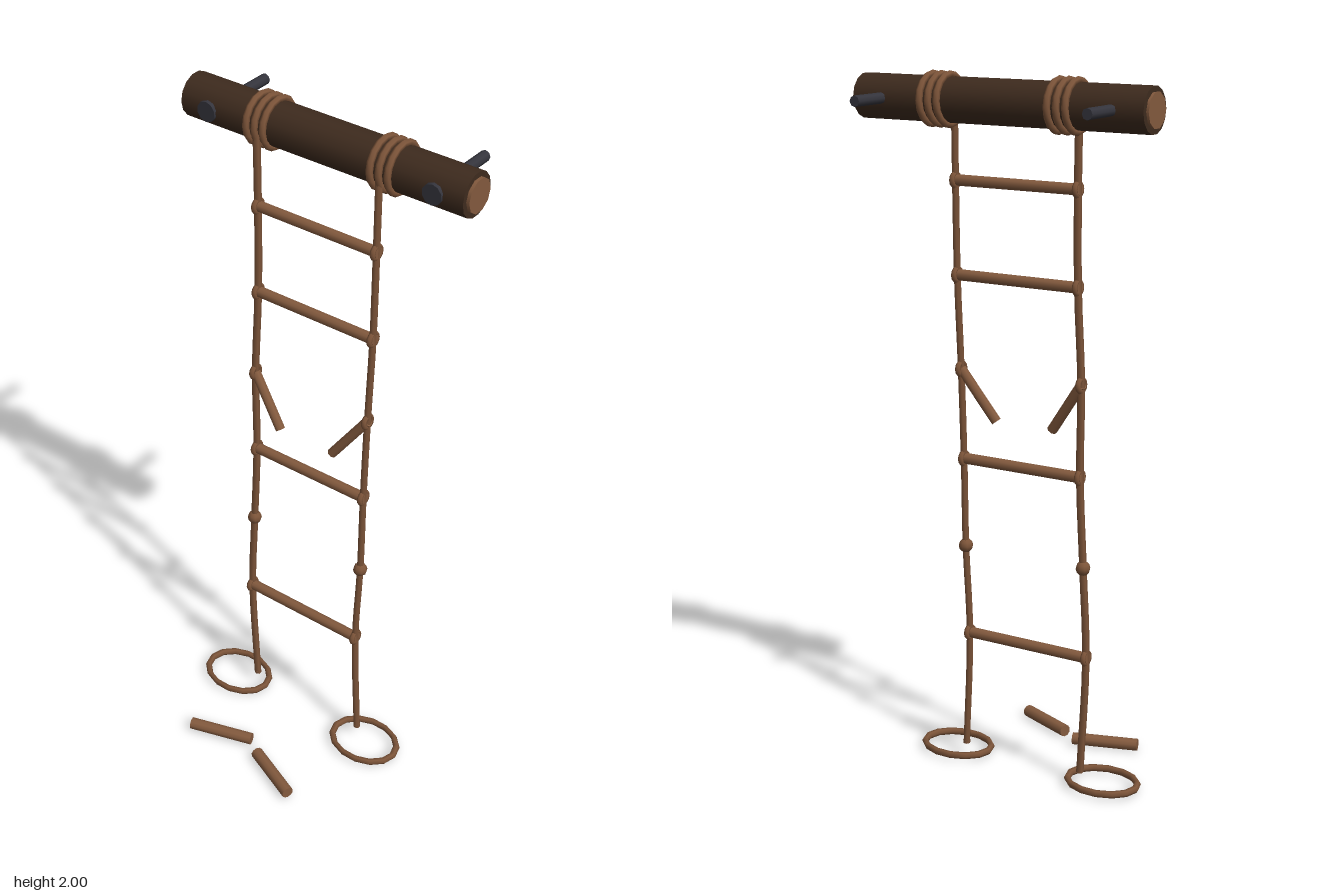
import * as THREE from 'three';

const material = (name, color) => {
  const m = new THREE.MeshStandardMaterial({ color });
  m.name = name;
  return m;
};

export function createModel() {
  const bark = material('dark bark', 0x3e2b1e);
  const wood = material('rung wood', 0x835a3e);
  const rope = material('rope', 0x7c5439);
  const iron = material('iron', 0x35353d);
  const model = new THREE.Group();
  const V = (x, y, z) => new THREE.Vector3(x, y, z);

  const add = (name, geometry, mat, position) => {
    const mesh = new THREE.Mesh(geometry, mat);
    mesh.name = name;
    if (position) mesh.position.copy(position);
    model.add(mesh);
    return mesh;
  };

  // Cylinder between two points
  const rod = (name, a, b, radius, mat, sides = 10, endRadius = radius) => {
    const dir = b.clone().sub(a);
    const mesh = add(name, new THREE.CylinderGeometry(endRadius, radius, dir.length(), sides), mat,
      a.clone().add(b).multiplyScalar(0.5));
    mesh.quaternion.setFromUnitVectors(V(0, 1, 0), dir.normalize());
    return mesh;
  };

  // Anchor beam with pale cut ends
  const beamY = 1.925, beamZ = -0.138;
  rod('beam', V(-0.44, beamY, beamZ), V(0.438, beamY, beamZ), 0.061, bark, 14);
  for (const s of [-1, 1]) {
    rod('cutEnd', V(s * 0.43, beamY, beamZ), V(s * 0.447, beamY, beamZ), 0.047, wood, 10);

    // Iron spike through the beam, with its head at the front
    rod('spike', V(s * 0.348, beamY, -0.08), V(s * 0.348, beamY, -0.315), 0.015, iron, 8);
    rod('spikeHead', V(s * 0.352, beamY, -0.082), V(s * 0.352, beamY, -0.071), 0.029, iron, 10);

    // Rope lashing round the beam
    for (const k of [-1, 0, 1]) {
      const wrap = add('lashing', new THREE.TorusGeometry(0.066, 0.0095, 6, 16), rope,
        V(s * 0.194 + k * 0.027, beamY, beamZ));
      wrap.rotation.y = Math.PI / 2;
    }
  }

  // Side ropes: x of the right and left rope at each height
  const levels = [
    [1.91, -0.192, 0.192, -0.08], [1.705, -0.186, 0.195, -0.074],
    [1.445, -0.184, 0.197, -0.067], [1.18, -0.192, 0.192, -0.06],
    [0.92, -0.186, 0.19, -0.053], [0.66, -0.195, 0.19, -0.048],
    [0.395, -0.203, 0.183, -0.042], [0.04, -0.182, 0.203, -0.034],
  ];
  const at = (i, side) => V(levels[i][side < 0 ? 1 : 2], levels[i][0], levels[i][3]);
  for (const s of [-1, 1]) {
    const curve = new THREE.CatmullRomCurve3(levels.map((_, i) => at(i, s)));
    add('sideRope', new THREE.TubeGeometry(curve, 28, 0.0105, 6), rope);
    const end = at(7, s);
    rod('ropeEnd', end.clone().add(V(0, 0.01, 0)), end, 0.0105, rope, 6);

    // Bindings at the rungs
    for (const i of [1, 2, 3, 4, 6]) {
      const knot = add('binding', new THREE.TorusGeometry(0.017, 0.008, 6, 12), rope, at(i, s));
      knot.rotation.y = Math.PI / 2;
    }
    // Knot left where a rung has fallen out
    add('knot', new THREE.SphereGeometry(0.021, 8, 6), rope, at(5, s));

    // Snapped rung hanging from its binding
    rod('snappedRung', at(3, s), V(s * 0.09, 1.037, -0.04), 0.0145, wood, 8);

    // Loose loop of rope on the ground
    const loop = add('groundLoop', new THREE.TorusGeometry(0.105, 0.0105, 6, 14), rope,
      V(s * 0.245, 0.02, -0.016));
    loop.rotation.x = Math.PI / 2;
    loop.scale.y = 0.77;
  }

  // Whole rungs
  for (const i of [1, 2, 4, 6]) {
    const a = at(i, -1), b = at(i, 1);
    a.x -= 0.008;
    b.x += 0.008;
    rod('rung', a, b, 0.0155, wood, 10);
  }

  // Fallen rung pieces on the ground
  rod('fallenRung', V(-0.217, 0.0205, 0.249), V(-0.03, 0.0205, 0.19), 0.018, wood, 10);
  rod('fallenRung', V(0.017, 0.0205, 0.224), V(0.19, 0.0205, 0.295), 0.018, wood, 10);

  return model;
}
